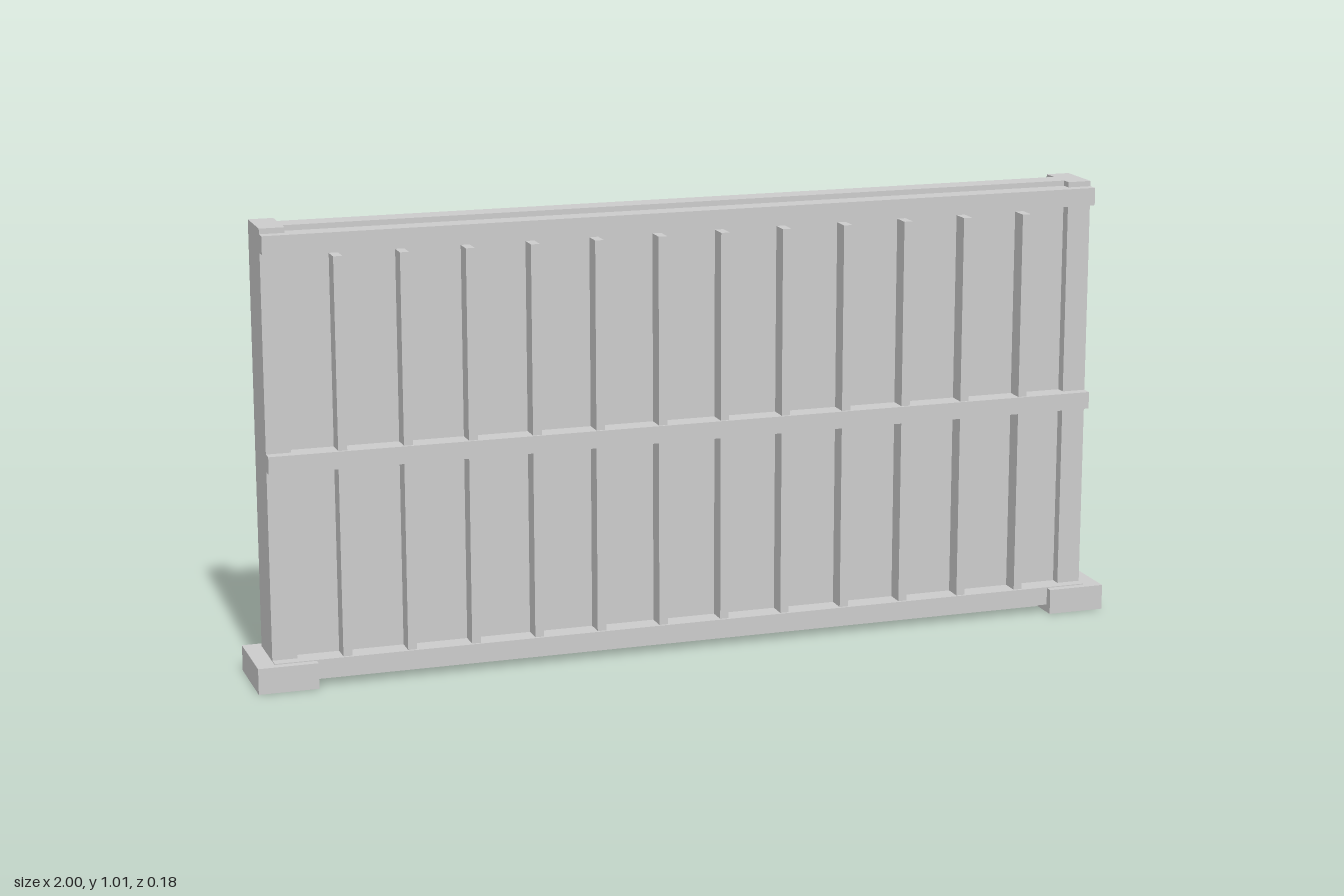
import * as THREE from 'three';

const material = new THREE.MeshStandardMaterial({ color: 0xcccccc, flatShading: true });

// Box given by its minimum and maximum corners
function addBox(parent, name, [x0, y0, z0], [x1, y1, z1]) {
  const mesh = new THREE.Mesh(new THREE.BoxGeometry(x1 - x0, y1 - y0, z1 - z0), material);
  mesh.position.set((x0 + x1) / 2, (y0 + y1) / 2, (z0 + z1) / 2);
  mesh.name = name;
  parent.add(mesh);
}

export function createModel() {
  const model = new THREE.Group();
  model.name = 'fencePanel';

  const panelFront = 0.023;
  const top = 1.01;

  // Flat backing sheet between the posts
  addBox(model, 'panel', [-0.905, 0, -0.032], [0.905, top, panelFront]);

  // End posts on block feet
  for (const side of [-1, 1]) {
    const label = side > 0 ? 'left' : 'right';
    const span = (a, b) => (side > 0 ? [a, b] : [-b, -a]);
    const [p0, p1] = span(0.905, 0.96);
    addBox(model, label + 'Post', [p0, 0.05, -0.071], [p1, top, 0.047]);
    const [f0, f1] = span(0.867, 1);
    addBox(model, label + 'Foot', [f0, 0, -0.09], [f1, 0.058, 0.09]);
  }

  // Horizontal rails across the front
  const rails = [['bottomRail', 0.018, 0.06], ['middleRail', 0.482, 0.521], ['topRail', 0.958, 0.998]];
  for (const [name, y0, y1] of rails) {
    addBox(model, name, [-0.96, y0, panelFront], [0.96, y1, 0.072]);
  }

  // Vertical battens behind the rails
  const battens = new THREE.Group();
  battens.name = 'battens';
  for (let i = 0; i < 12; i++) {
    const x = -0.797 + i * 0.1447;
    addBox(battens, 'batten', [x - 0.01, 0.05, panelFront], [x + 0.01, 0.945, 0.066]);
  }
  model.add(battens);

  return model;
}
